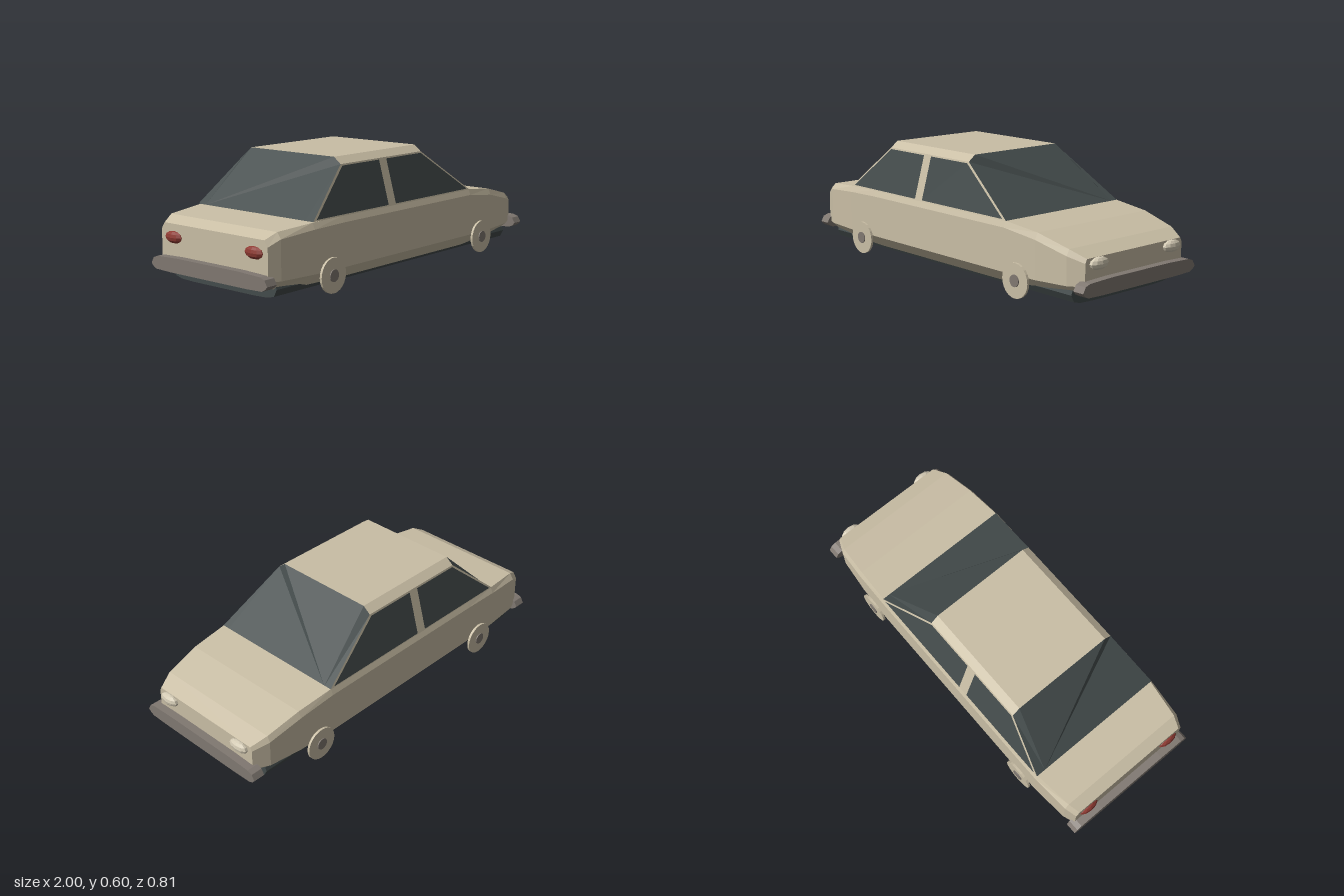
import * as THREE from 'three';

const mat = (name, color, side = THREE.FrontSide) => {
  const m = new THREE.MeshStandardMaterial({ color, side, flatShading: true });
  m.name = name;
  return m;
};

// Flat convex panels, each wound to face away from the given centre
function panels(polys, centre) {
  const pos = [];
  const n = new THREE.Vector3();
  for (const poly of polys) {
    const p = poly.map((a) => new THREE.Vector3(...a));
    for (let i = 1; i < p.length - 1; i++) {
      const tri = new THREE.Triangle(p[0], p[i], p[i + 1]);
      tri.getNormal(n);
      const out = tri.getMidpoint(new THREE.Vector3()).sub(centre);
      const order = n.dot(out) < 0 ? [tri.a, tri.c, tri.b] : [tri.a, tri.b, tri.c];
      for (const v of order) pos.push(v.x, v.y, v.z);
    }
  }
  const g = new THREE.BufferGeometry();
  g.setAttribute('position', new THREE.Float32BufferAttribute(pos, 3));
  g.computeVertexNormals();
  return g;
}

// Closed loft through equal-length rings
function loft(rings, centre) {
  const polys = [rings[0], rings[rings.length - 1]];
  for (let i = 0; i < rings.length - 1; i++) {
    const a = rings[i], b = rings[i + 1];
    a.forEach((p, j) => {
      const k = (j + 1) % a.length;
      polys.push([p, a[k], b[k], b[j]]);
    });
  }
  return panels(polys, centre);
}

// Bar running along x, with a mirrored [z, y] outline given for one half
function barX(half, x0, x1) {
  const outline = [...half, ...half.slice().reverse().map(([z, y]) => [-z, y])];
  const shape = new THREE.Shape(outline.map(([z, y]) => new THREE.Vector2(z, y)));
  const g = new THREE.ExtrudeGeometry(shape, { depth: x1 - x0, bevelEnabled: false });
  return g.rotateY(Math.PI / 2).translate(x0, 0, 0);
}

export function createModel() {
  const car = new THREE.Group();
  car.name = 'car';
  const paint = mat('body paint', 0xc9bea5);
  const glass = mat('dark glass', 0x434b4b);
  const grey = mat('bumper grey', 0x807871);
  const lamp = mat('headlight', 0xd3cab4);
  const red = mat('tail light red', 0x8e3a32);
  const add = (name, geo, material) => {
    const m = new THREE.Mesh(geo, material);
    m.name = name;
    car.add(m);
    return m;
  };
  const mirror = (poly) => poly.map(([x, y, z]) => [x, y, -z]);

  // Lower body: x, side half-width, bottom and top half-widths, then four heights
  const stations = [
    [-0.96, 0.345, 0.31, 0.325, 0.085, 0.11, 0.265, 0.295],
    [-0.90, 0.367, 0.32, 0.345, 0.065, 0.108, 0.295, 0.325],
    [-0.70, 0.384, 0.33, 0.37, 0.05, 0.106, 0.31, 0.34],
    [-0.50, 0.386, 0.33, 0.374, 0.045, 0.105, 0.315, 0.345],
    [0.50, 0.386, 0.33, 0.374, 0.045, 0.105, 0.315, 0.345],
    [0.70, 0.378, 0.33, 0.363, 0.06, 0.105, 0.29, 0.322],
    [0.88, 0.36, 0.32, 0.345, 0.08, 0.11, 0.245, 0.275],
    [0.96, 0.325, 0.30, 0.315, 0.09, 0.115, 0.22, 0.24],
  ];
  const rings = stations.map(([x, w, wb, wt, yb, yl, ys, yt]) => {
    const half = [[x, yb, wb], [x, yl, w], [x, ys, w], [x, yt, wt]];
    return [...half, ...mirror(half).reverse()];
  });
  add('body', loft(rings, new THREE.Vector3(0, 0.2, 0)), paint);

  // Cabin: painted side frames, bevelled roof, then glass
  const mid = new THREE.Vector3(-0.13, 0.38, 0);
  const both = (polys) => [...polys, ...polys.map(mirror)];
  const xf = 0.17, xr = -0.44, belt = 0.343, eave = 0.57, top = 0.601;
  add('cabinSides', panels(both([
    [[0.505, belt, 0.375], [xf, eave, 0.31], [xr, eave, 0.31], [-0.7, belt, 0.375]],
  ]), mid), paint);
  add('roof', panels([
    [[xr, top, -0.27], [xf, top, -0.27], [xf, top, 0.27], [xr, top, 0.27]],
    ...both([[[xr, eave, 0.31], [xf, eave, 0.31], [xf, top, 0.27], [xr, top, 0.27]]]),
  ], mid), paint);

  // Windscreen and rear window with their angled corner panes
  const screen = (xBase, xTop, zBase) => panels([
    [[xBase, belt, -zBase], [xBase, belt, zBase], [xTop, eave, 0.31],
      [xTop, top, 0.27], [xTop, top, -0.27], [xTop, eave, -0.31]],
    ...both([[[xBase, belt, zBase], [xBase, belt, 0.375], [xTop, eave, 0.31]]]),
  ], mid);
  add('windscreen', screen(0.505, xf, 0.335), glass);
  add('rearWindow', screen(-0.7, xr, 0.325), glass);

  // Side windows lie just proud of the frame on either side of the centre pillar
  const onSide = (x, y) => [x, y, 0.375 - 0.065 * (y - belt) / (eave - belt) + 0.003];
  const sideWindow = (pts) => pts.map(([x, y]) => onSide(x, y));
  add('sideWindows', panels(both([
    sideWindow([[-0.11, 0.35], [0.48, 0.35], [0.163, 0.563], [-0.11, 0.563]]),
    sideWindow([[-0.165, 0.35], [-0.678, 0.35], [-0.433, 0.563], [-0.165, 0.563]]),
  ]), mid), glass);

  // Chassis slab
  add('chassis', barX([[0.2, 0.018], [0.28, 0.021], [0.32, 0.031], [0.338, 0.065], [0.33, 0.085]],
    -0.9, 0.89), glass);

  // Bumpers with pointed ends
  const bumper = [[0.25, 0.074], [0.345, 0.077], [0.366, 0.088], [0.378, 0.102], [0.362, 0.13],
    [0.335, 0.14], [0.2, 0.145]];
  add('frontBumper', barX(bumper, 0.94, 1), grey);
  add('rearBumper', barX(bumper, -1, -0.94), grey);

  // Lights and wheels, mirrored left and right
  for (const s of [1, -1]) {
    const light = (name, x, y, z, m) => {
      const g = new THREE.SphereGeometry(1, 10, 6).scale(0.025, 0.03, 0.057);
      add(name, g, m).position.set(x, y, z * s);
    };
    light('headlight', 0.967, 0.212, 0.245, lamp);
    light('tailLight', -0.957, 0.232, 0.262, red);
    for (const x of [-0.59, 0.59]) {
      const disc = (name, r, z0, z1, m) => {
        const g = new THREE.CylinderGeometry(r, r, z1 - z0, 24).rotateX(Math.PI / 2);
        add(name, g, m).position.set(x, 0.084, s * (z0 + z1) / 2);
      };
      disc('wheel', 0.084, 0.388, 0.4, paint);
      disc('hub', 0.029, 0.36, 0.405, grey);
    }
  }
  return car;
}
